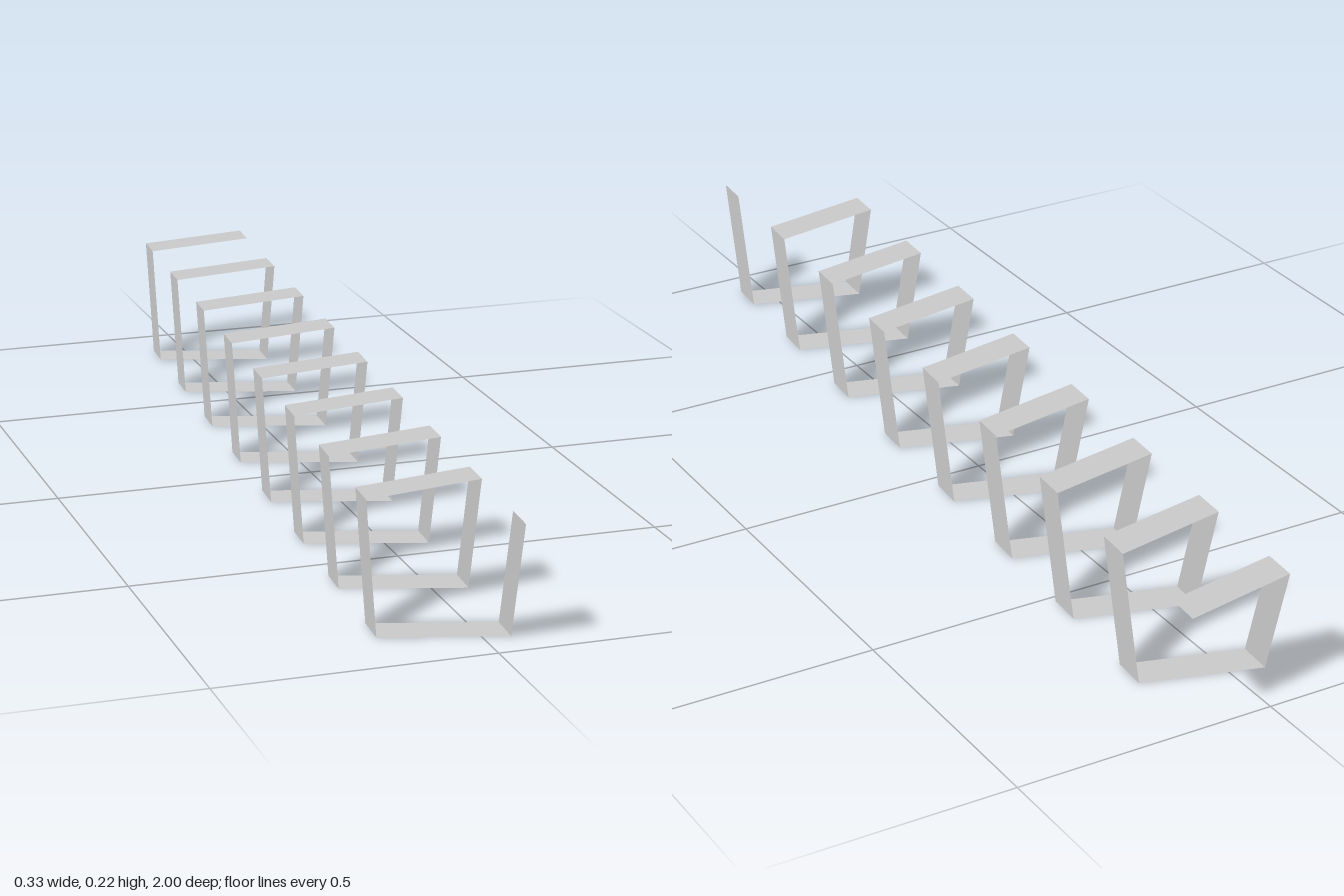
import * as THREE from 'three';

const TURNS = 8;
const PITCH = 0.2414;   // advance along z per turn
const WIDTH = 0.069;    // ribbon width, measured along the coil axis
const HEIGHT = 0.222;
const SLANT = -0.0604;  // sideways drift of the axis per unit of z

// Corners of one square turn: x across, y up, z advance within the turn
const CORNERS = [
  [0.1046, HEIGHT, 0],      // top, left side
  [-0.1168, HEIGHT, 0.043], // top, right side
  [-0.1168, 0, 0.11],       // bottom, right side
  [0.1046, 0, 0.175],       // bottom, left side
];

// Square coil: a flat ribbon swept along a slanted axis
function ribbonGeometry() {
  const positions = [];
  const index = [];
  const count = TURNS * 4;
  for (let i = 0; i <= count; i++) {
    const [x, y, dz] = CORNERS[i % 4];
    const z = -1 + Math.floor(i / 4) * PITCH + dz;
    for (const edge of [z, z + WIDTH]) positions.push(x + SLANT * edge, y, edge);
    if (i < count) {
      const a = i * 2;
      index.push(a, a + 2, a + 1, a + 1, a + 2, a + 3);
    }
  }
  const geometry = new THREE.BufferGeometry();
  geometry.setAttribute('position', new THREE.Float32BufferAttribute(positions, 3));
  geometry.setIndex(index);
  // Separate the faces so every fold stays crisp
  const flat = geometry.toNonIndexed();
  flat.computeVertexNormals();
  return flat;
}

export function createModel() {
  const group = new THREE.Group();
  group.name = 'squareSpring';
  const material = new THREE.MeshStandardMaterial({
    color: 0xcccccc, flatShading: true, side: THREE.DoubleSide,
  });
  const ribbon = new THREE.Mesh(ribbonGeometry(), material);
  ribbon.name = 'coiledRibbon';
  group.add(ribbon);
  return group;
}
